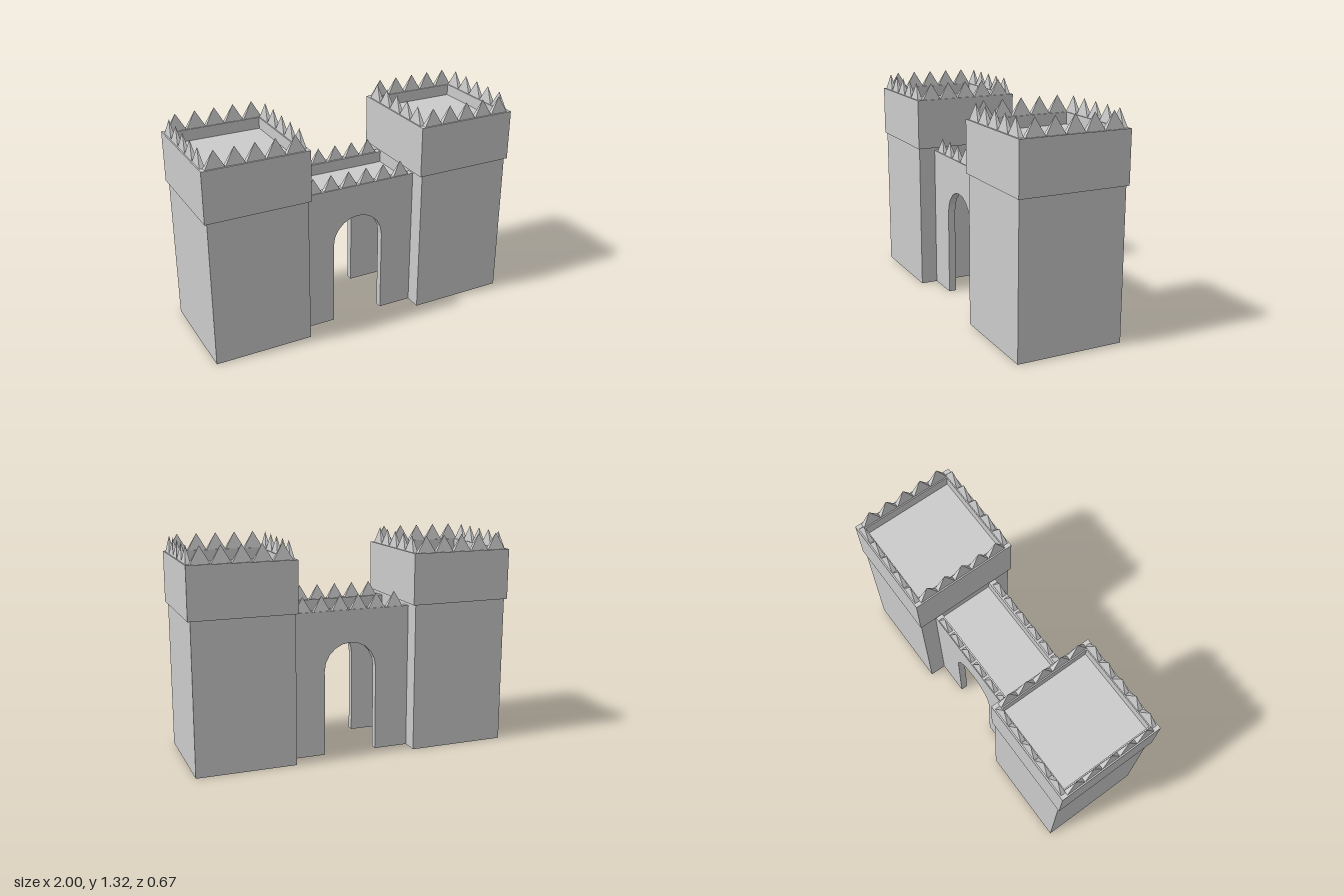
import * as THREE from 'three';

const material = new THREE.MeshStandardMaterial({ color: 0xcccccc, flatShading: true });

function add(parent, geometry, name, x = 0, y = 0, z = 0) {
  const mesh = new THREE.Mesh(geometry, material);
  mesh.name = name;
  mesh.position.set(x, y, z);
  parent.add(mesh);
  return mesh;
}

// four-sided spike on a unit base, standing on y = 0
const spikeGeometry = new THREE.ConeGeometry(Math.SQRT1_2, 1, 4).rotateY(Math.PI / 4).translate(0, 0.5, 0);

// row of spikes centred on the group's origin, running along x
function spikeRow(count, pitch, width, height) {
  const row = new THREE.Group();
  row.name = 'spikeRow';
  for (let i = 0; i < count; i++) {
    const spike = add(row, spikeGeometry, 'spike', (i - (count - 1) / 2) * pitch);
    spike.scale.set(width, height, 0.03);
  }
  return row;
}

function rectangle(PathType, w, d) {
  return new PathType([[-1, -1], [1, -1], [1, 1], [-1, 1]]
    .map(([x, y]) => new THREE.Vector2(x * w / 2, y * d / 2)));
}

function createTower(side) {
  const tower = new THREE.Group();
  tower.name = side > 0 ? 'leftTower' : 'rightTower';
  tower.position.x = side * 0.681;

  // shaft, whose top is the sunken floor inside the parapet
  add(tower, new THREE.BoxGeometry(0.606, 1.15, 0.648), 'towerShaft', 0, 0.575, 0);

  // overhanging parapet frame
  const w = 0.638, d = 0.668, wall = 0.045;
  const frame = rectangle(THREE.Shape, w, d);
  frame.holes.push(rectangle(THREE.Path, w - 2 * wall, d - 2 * wall));
  const parapet = new THREE.ExtrudeGeometry(frame, { depth: 0.31, bevelEnabled: false });
  add(tower, parapet.rotateX(-Math.PI / 2), 'parapet', 0, 0.91, 0);

  // spikes along all four sides
  for (const s of [-1, 1]) {
    const along = spikeRow(5, 0.118, 0.116, 0.102);
    along.position.set(0, 1.22, s * 0.31);
    const across = spikeRow(5, 0.118, 0.118, 0.102);
    across.rotation.y = Math.PI / 2;
    across.position.set(s * 0.296, 1.22, 0);
    tower.add(along, across);
  }
  return tower;
}

function createGate() {
  const gate = new THREE.Group();
  gate.name = 'gate';

  // wall outline with a round arch cut up from the ground
  const half = 0.38, r = 0.165, spring = 0.525, top = 0.89;
  const outline = new THREE.Shape();
  outline.moveTo(half, 0);
  outline.lineTo(half, top);
  outline.lineTo(-half, top);
  outline.lineTo(-half, 0);
  outline.lineTo(-r, 0);
  outline.lineTo(-r, spring);
  outline.absarc(0, spring, r, Math.PI, 0, true);
  outline.lineTo(r, 0);
  outline.closePath();
  const wall = new THREE.ExtrudeGeometry(outline, { depth: 0.045, bevelEnabled: false, curveSegments: 5 });
  wall.translate(0, 0, -0.0225);

  // front and back walls with their spikes
  for (const s of [-1, 1]) {
    add(gate, wall, s > 0 ? 'frontWall' : 'backWall', 0, 0, s * 0.1975);
    const spikes = spikeRow(6, 0.117, 0.102, 0.092);
    spikes.position.set(0.003, top, s * 0.2);
    gate.add(spikes);
  }

  // walkway between the two walls
  add(gate, new THREE.BoxGeometry(0.76, 0.015, 0.36), 'walkway', 0, 0.8125, 0);
  return gate;
}

export function createModel() {
  const model = new THREE.Group();
  model.name = 'castleGatehouse';
  model.add(createTower(-1), createTower(1), createGate());
  return model;
}
